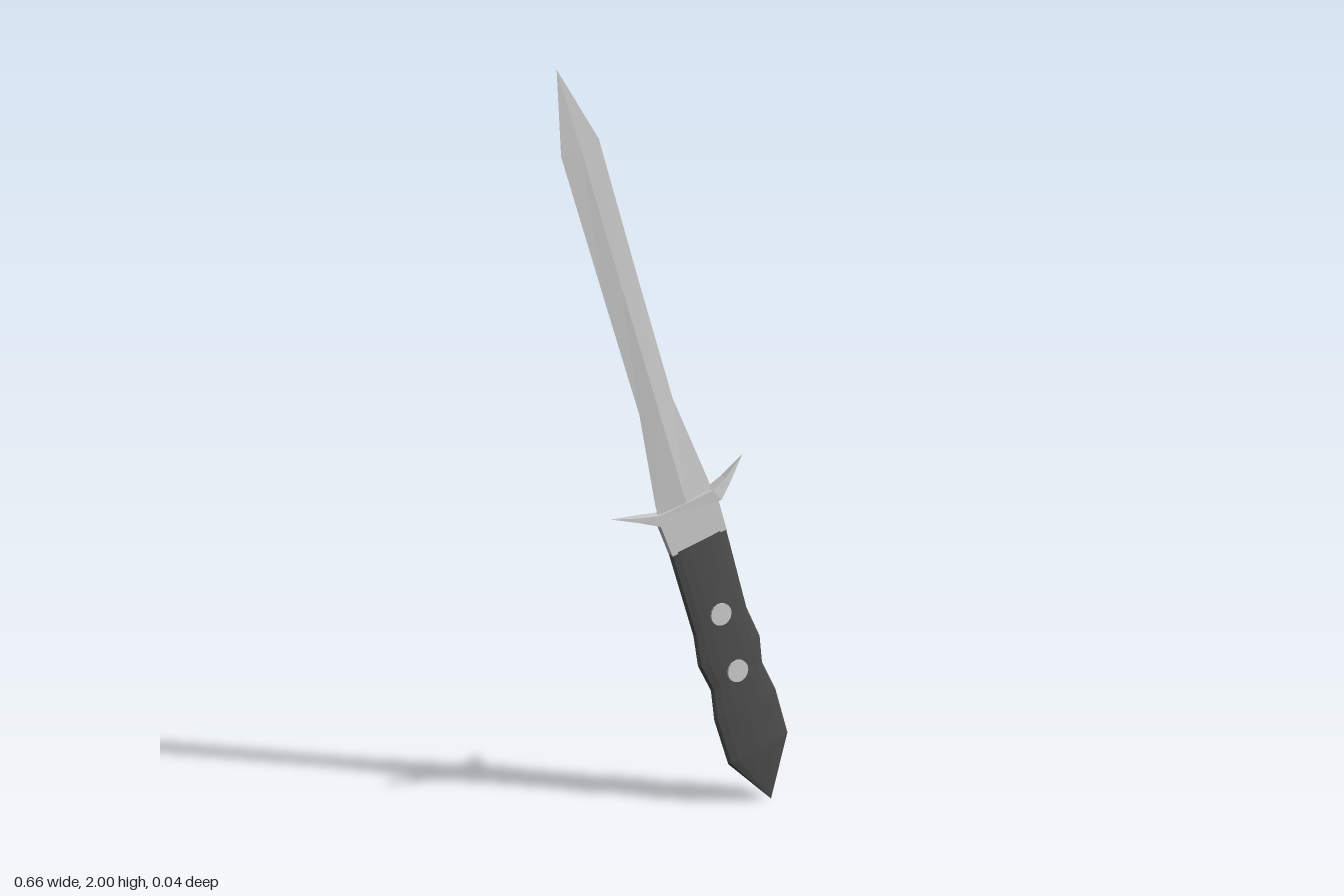
import * as THREE from 'three';

const steel = new THREE.MeshStandardMaterial({ color: 0xcccccc, flatShading: true });
const grip = new THREE.MeshStandardMaterial({ color: 0x4d4d4d, flatShading: true });

// Cross-section outlines: u runs from one edge to the other, v is depth
const diamond = [[1, 0], [0, 1], [-1, 0], [0, -1]];
const box = [[1, -1], [1, 1], [-1, 1], [-1, -1]];
const oval = Array.from({ length: 16 }, (_, i) => {
  const a = (i / 16) * Math.PI * 2;
  return [Math.cos(a), Math.sin(a)];
});

// Skin a section through stations [edgeAx, edgeAy, edgeBx, edgeBy, zFront, zBack]
function loft(name, section, stations, material) {
  const n = section.length, pos = [], idx = [];
  for (const [ax, ay, bx, by, zf, zb] of stations) {
    for (const [u, v] of section) {
      const t = (u + 1) / 2;
      pos.push(ax + (bx - ax) * t, ay + (by - ay) * t, (zf + zb) / 2 + v * (zf - zb) / 2);
    }
  }
  const last = (stations.length - 1) * n;
  for (let s = 0; s < last; s += n) {
    for (let j = 0; j < n; j++) {
      const k = (j + 1) % n;
      idx.push(s + j, s + n + j, s + k, s + k, s + n + j, s + n + k);
    }
  }
  for (let j = 1; j < n - 1; j++) {
    idx.push(0, j, j + 1, last, last + j + 1, last + j);
  }
  const g = new THREE.BufferGeometry();
  g.setAttribute('position', new THREE.Float32BufferAttribute(pos, 3));
  g.setIndex(idx);
  g.computeVertexNormals();
  const mesh = new THREE.Mesh(g, material);
  mesh.name = name;
  return mesh;
}

export function createModel() {
  const group = new THREE.Group();
  group.name = 'dagger';

  // Double-edged blade, guard end to tip
  group.add(loft('blade', diamond, [
    [-0.04, 0.78, 0.115, 0.825, 0.010, -0.010],
    [-0.05, 0.82, 0.100, 0.865, 0.010, -0.010],
    [-0.095, 1.06, 0.000, 1.09, 0.009, -0.009],
    [-0.20, 1.39, -0.100, 1.42, 0.006, -0.006],
    [-0.32, 1.77, -0.212, 1.80, 0.004, -0.004],
    [-0.333, 2, -0.333, 2, 0, 0],
  ], steel));

  // Collar between handle and guard
  group.add(loft('collar', box, [
    [-0.005, 0.68, 0.150, 0.725, 0.009, -0.009],
    [-0.04, 0.765, 0.125, 0.81, 0.010, -0.010],
  ], steel));

  // Swept guard, left tip to right tip (upper edge, then lower edge)
  group.add(loft('guard', box, [
    [-0.176, 0.802, -0.176, 0.802, 0, -0.002],
    [-0.10, 0.794, -0.10, 0.782, 0.006, -0.021],
    [-0.04, 0.792, -0.04, 0.763, 0.010, -0.019],
    [0.105, 0.836, 0.13, 0.808, 0.018, -0.013],
    [0.145, 0.862, 0.155, 0.842, 0.013, -0.009],
    [0.200, 0.910, 0.200, 0.910, 0.001, -0.001],
  ], steel));

  // Contoured handle, pommel point up to the collar
  group.add(loft('handle', oval, [
    [0.283, 0, 0.283, 0, 0, 0],
    [0.16, 0.11, 0.330, 0.165, 0.014, -0.014],
    [0.12, 0.23, 0.295, 0.285, 0.016, -0.016],
    [0.11, 0.31, 0.257, 0.36, 0.016, -0.016],
    [0.073, 0.38, 0.250, 0.43, 0.016, -0.016],
    [0.060, 0.46, 0.212, 0.51, 0.016, -0.016],
    [-0.010, 0.683, 0.152, 0.73, 0.014, -0.014],
  ], grip));

  // Rivets passing through the handle
  const rivetGeo = new THREE.CylinderGeometry(0.029, 0.029, 0.042, 16).rotateX(Math.PI / 2);
  [[0.129, 0.51], [0.177, 0.355]].forEach(([x, y], i) => {
    const rivet = new THREE.Mesh(rivetGeo, steel);
    rivet.name = 'rivet' + (i + 1);
    rivet.position.set(x, y, -0.001);
    group.add(rivet);
  });
  return group;
}
